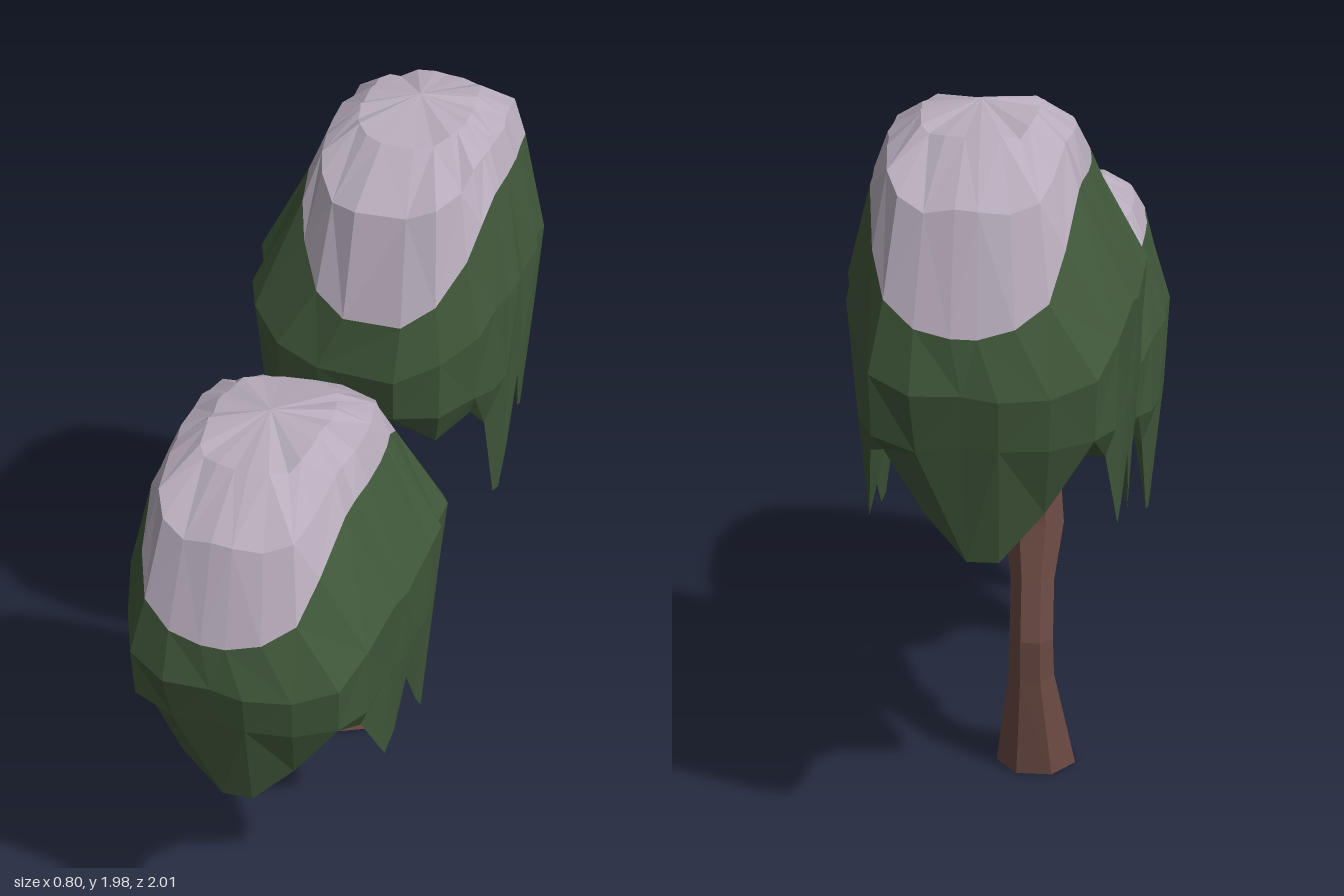
import * as THREE from 'three';

const material = (name, color) => Object.assign(new THREE.MeshStandardMaterial({ color, flatShading: true }), { name });
const bark = material('bark brown', 0x6b4a43);
const leaf = material('leaf green', 0x40573a);
const snow = material('pale snow', 0xb7acbb);

// Small repeatable offset that makes the facets uneven
const jitter = (a, b) => {
  const s = Math.sin(a * 127.1 + b * 311.7) * 43758.5453;
  return (s - Math.floor(s) - 0.5) * 2;
};

// Joins rings of equal length (listed bottom to top) into a faceted skin
function loft(name, rings, mat) {
  const pos = [];
  const tri = (a, b, c) => {
    const area = b.clone().sub(a).cross(c.clone().sub(a)).length();
    if (area > 1e-9) for (const p of [a, b, c]) pos.push(p.x, p.y, p.z);
  };
  for (let r = 0; r < rings.length - 1; r++) {
    const a = rings[r], b = rings[r + 1], n = a.length;
    for (let i = 0; i < n; i++) {
      const j = (i + 1) % n;
      if ((i + r) % 2) {
        tri(a[i], a[j], b[j]);
        tri(a[i], b[j], b[i]);
      } else {
        tri(a[i], a[j], b[i]);
        tri(a[j], b[j], b[i]);
      }
    }
  }
  const geo = new THREE.BufferGeometry();
  geo.setAttribute('position', new THREE.Float32BufferAttribute(pos, 3));
  geo.computeVertexNormals();
  const mesh = new THREE.Mesh(geo, mat);
  mesh.name = name;
  return mesh;
}

const point = (p, n) => Array.from({ length: n }, () => p.clone());

// Tapered limb along a path of [x, y, z, radius]
function limb(name, path, sides = 7) {
  const pts = path.map(([x, y, z]) => new THREE.Vector3(x, y, z));
  const X = new THREE.Vector3(1, 0, 0);
  const rings = pts.map((p, k) => {
    const t = pts[Math.min(k + 1, pts.length - 1)].clone().sub(pts[Math.max(k - 1, 0)]).normalize();
    const n = X.clone().cross(t).normalize();
    const side = t.clone().cross(n);
    return Array.from({ length: sides }, (_, i) => {
      const a = (i / sides) * Math.PI * 2, r = path[k][3];
      const q = p.clone().addScaledVector(side, Math.sin(a) * r).addScaledVector(n, Math.cos(a) * r);
      if (p.y === 0) q.y = 0; // flat foot
      return q;
    });
  });
  return loft(name, [point(pts[0], sides), ...rings, point(pts[pts.length - 1], sides)], bark);
}

// Half of the crown outline, front to back: x and z as fractions, height of the hanging hem
const HALF = [
  [0.12, 1, 0.63], [0.45, 0.97, 0.74], [0.74, 0.88, 0.86], [0.87, 0.7, 0.83], [0.95, 0.4, 0.63],
  [0.97, 0.25, 0.66], [1, 0.08, 0.78], [1, -0.14, 0.63], [0.99, -0.3, 0.55], [0.97, -0.4, 0.56],
  [0.93, -0.58, 0.8], [0.85, -0.72, 0.86], [0.62, -0.9, 0.81], [0.3, -0.98, 0.86],
];
const OUTLINE = [
  ...HALF,
  ...HALF.map(([x, z, h], i) => [-x, z, i === 6 ? 0.88 : h]).reverse(),
];

// Drooping crown with a hollow underside and a snow cap draped over the top
function crown(name) {
  const n = OUTLINE.length, cz = 0.485;
  // Ring: centre x, half width, half depth, height at the sides, height at the ends
  const ring = (id, cx, hx, hz, ySide, yEnd, rough) => OUTLINE.map(([u, v], i) => {
    const w = THREE.MathUtils.clamp((Math.abs(v) - 0.5) / 0.5, 0, 1);
    const k = 1 + jitter(id, i) * rough;
    return new THREE.Vector3(
      cx + u * hx * k,
      ySide + (yEnd - ySide) * w + jitter(id + 9, i) * rough * 0.5,
      cz + v * hz * k);
  });
  const hem = OUTLINE.map(([u, v, h]) => new THREE.Vector3(-0.02 + u * 0.335, h, cz + v * 0.45));
  const edge = ring(4, -0.06, 0.268, 0.48, 1.38, 1.13, 0.008);

  const foliage = loft('foliage', [
    point(new THREE.Vector3(-0.02, 1.08, cz), n),
    ring(1, -0.02, 0.26, 0.37, 0.97, 0.95, 0.03),
    hem,
    ring(2, -0.02, 0.36, 0.495, 0.92, 0.89, 0.025),
    ring(3, -0.02, 0.37, 0.512, 1.14, 1.01, 0.025),
    edge,
  ], leaf);
  const cap = loft('snowCap', [
    edge,
    ring(5, -0.06, 0.228, 0.395, 1.46, 1.37, 0.02),
    ring(6, -0.06, 0.15, 0.23, 1.51, 1.49, 0.02),
    point(new THREE.Vector3(-0.06, 1.53, cz), n),
  ], snow);

  const g = new THREE.Group();
  g.name = name;
  g.add(foliage, cap);
  return g;
}

export function createModel() {
  const tree = new THREE.Group();
  tree.name = 'snowyTree';

  // Bent trunk and its branches
  tree.add(
    limb('trunk', [
      [-0.06, 0, -0.215, 0.115], [-0.05, 0.3, -0.27, 0.065], [-0.05, 0.41, -0.28, 0.062],
      [-0.05, 0.57, -0.24, 0.062], [-0.05, 0.72, -0.18, 0.085], [-0.05, 0.86, -0.17, 0.075],
      [-0.05, 1.05, -0.24, 0.055], [-0.05, 1.3, -0.3, 0.045],
    ]),
    limb('rearBranch', [
      [-0.05, 0.96, -0.21, 0.05], [-0.03, 1.1, -0.32, 0.05], [0, 1.22, -0.48, 0.045], [0.02, 1.38, -0.62, 0.03],
    ], 6),
    limb('frontBranch', [
      [-0.05, 0.66, -0.2, 0.08], [-0.05, 0.72, -0.06, 0.062], [-0.05, 0.77, 0.08, 0.045],
      [-0.09, 0.82, 0.22, 0.045], [-0.15, 0.89, 0.4, 0.025],
    ], 6),
    limb('frontTwig', [[-0.06, 0.79, 0.12, 0.035], [0, 0.88, 0.22, 0.035], [0.04, 1.02, 0.34, 0.025]], 5),
  );

  // Two crowns: the rear one is turned round, raised and taller
  const rear = crown('rearCrown');
  rear.rotation.y = Math.PI;
  rear.scale.y = 1.173;
  rear.position.y = 0.185;
  tree.add(crown('frontCrown'), rear);
  return tree;
}
